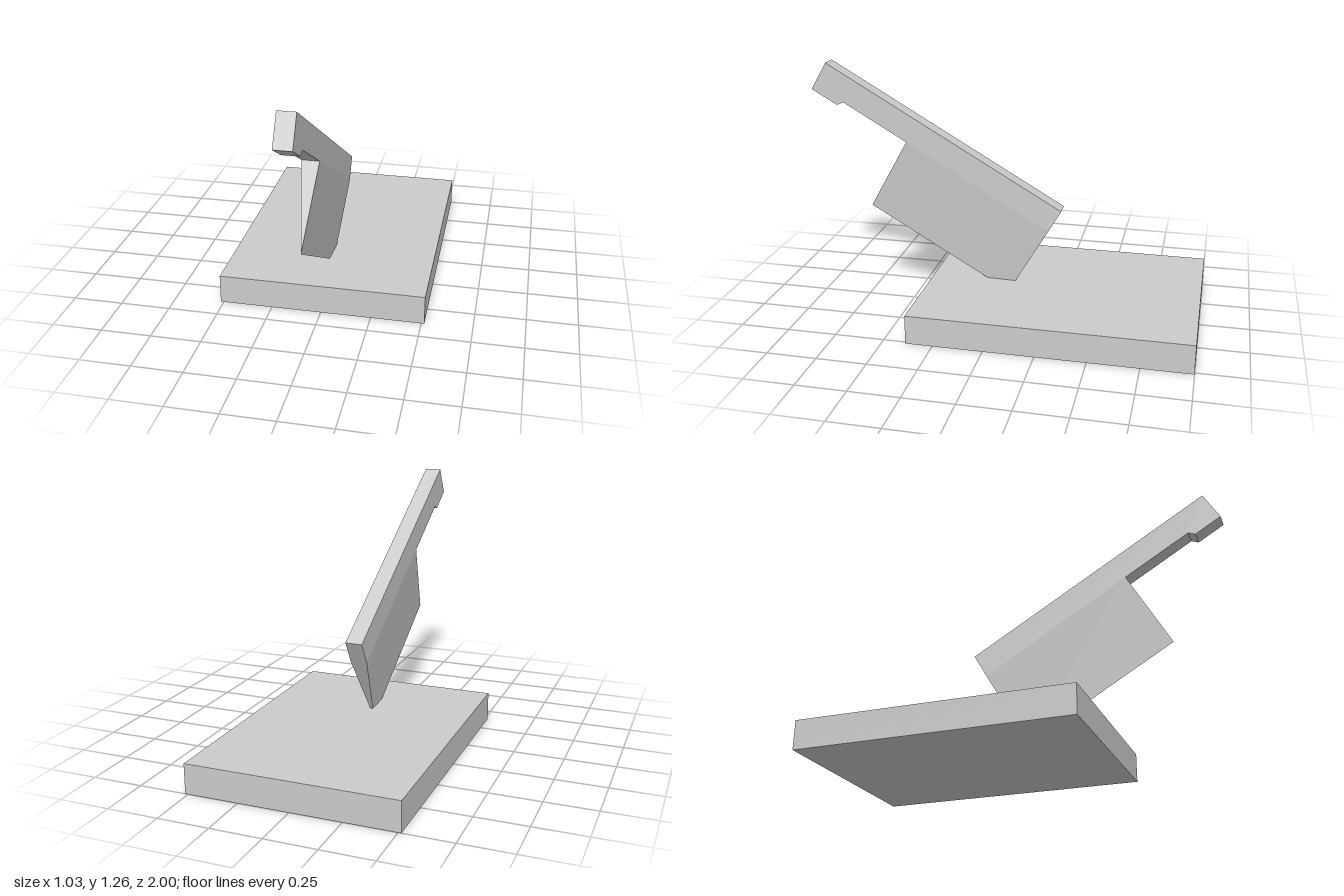
import * as THREE from 'three';

const material = new THREE.MeshStandardMaterial({ color: 0xcccccc, flatShading: true });

// Extrude a closed outline, centred on its depth
function slab(name, points, depth) {
  const shape = new THREE.Shape(points.map(([x, y]) => new THREE.Vector2(x, y)));
  const geometry = new THREE.ExtrudeGeometry(shape, { depth, bevelEnabled: false });
  geometry.translate(0, 0, -depth / 2);
  const mesh = new THREE.Mesh(geometry, material);
  mesh.name = name;
  return mesh;
}

export function createModel() {
  const model = new THREE.Group();
  model.name = 'cleaverOnBoard';

  // Cutting board
  const bottom = 0, top = 0.147, back = -1, front = 0.385;
  const board = new THREE.Mesh(new THREE.BoxGeometry(1.03, top - bottom, front - back), material);
  board.name = 'cuttingBoard';
  board.position.set(0, (top + bottom) / 2, (front + back) / 2);
  model.add(board);

  // Cleaver, drawn along its spine from the blade tip and then tilted into the board
  const thickness = 0.085, length = 1.397, bladeLength = 0.847;
  const spineDepth = 0.13, bladeDepth = 0.553;
  const cleaver = new THREE.Group();
  cleaver.name = 'cleaver';

  // Spine and handle with a small hooked butt
  cleaver.add(slab('spineAndHandle', [
    [0, -spineDepth], [1.224, -spineDepth], [1.247, -0.16],
    [length, -0.16], [length, 0], [0, 0],
  ], thickness));

  // Blade tapering to a sharp edge
  const blade = slab('blade', [
    [-thickness / 2, -spineDepth], [0, -bladeDepth], [thickness / 2, -spineDepth],
  ], bladeLength);
  blade.rotation.y = Math.PI / 2;
  blade.position.x = bladeLength / 2;
  cleaver.add(blade);

  cleaver.rotation.set(-Math.PI / 6, -Math.PI / 2, 0);
  cleaver.position.set(-0.0145, 0.56, -0.29);
  model.add(cleaver);

  return model;
}
